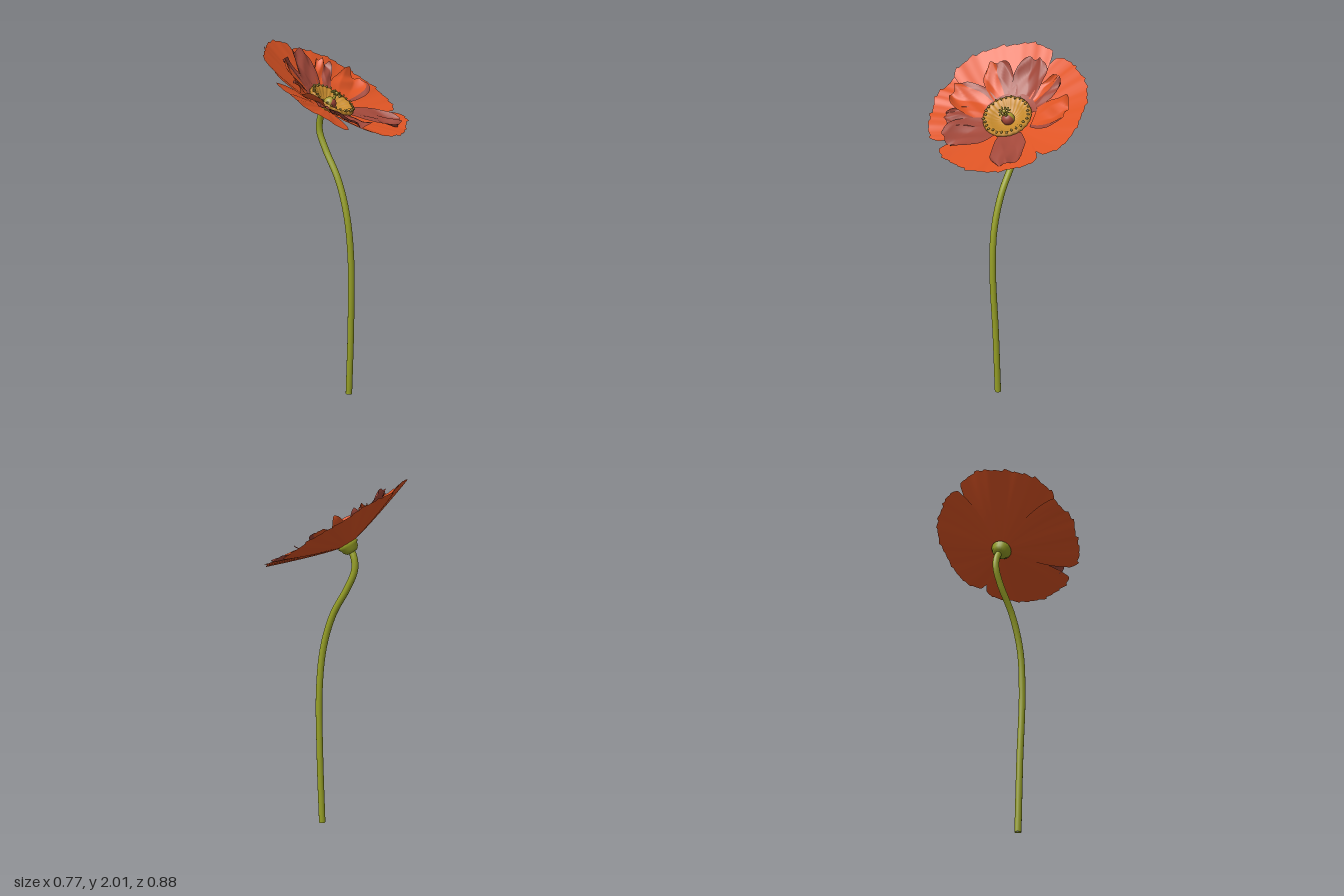
import * as THREE from 'three';

const V = (x, y, z) => new THREE.Vector3(x, y, z);
const flat = (name, color, side = THREE.FrontSide) => {
  const m = new THREE.MeshStandardMaterial({ color, side });
  m.name = name;
  return m;
};

// Smooth sheet from a rule f(u, v in 0..1) -> Vector3, with u from u0 to u1
function sheet(nu, nv, f, u0 = -1, u1 = 1) {
  const pos = [], idx = [];
  for (let j = 0; j <= nv; j++)
    for (let i = 0; i <= nu; i++) pos.push(...f(u0 + (i / nu) * (u1 - u0), j / nv).toArray());
  for (let j = 0; j < nv; j++)
    for (let i = 0; i < nu; i++) {
      const a = j * (nu + 1) + i, b = a + 1, c = a + nu + 1, d = c + 1;
      idx.push(a, b, c, b, d, c);
    }
  const g = new THREE.BufferGeometry();
  g.setAttribute('position', new THREE.Float32BufferAttribute(pos, 3));
  g.setIndex(idx);
  g.computeVertexNormals();
  return g;
}

// Shallow bowl that all petals follow
const bowl = (r) => 0.14 * Math.pow(r / 0.445, 1.2);
const rad = THREE.MathUtils.degToRad;

// Broad outer petal with a ragged edge, spanning angles from..to at the rim and wider inside
function outerPetal({ from, to, R, raise, seed }) {
  const mid = (from + to) / 2, half = (to - from) / 2;
  const teeth = Math.round((to - from) / 7.5);
  return sheet(teeth * 5, 14, (u, v) => {
    const a = rad(mid + u * (half + 9 * (1 - v * v)));
    const k = ((u + 1) / 2) * teeth;
    const saw = 0.015 * (k - Math.floor(k)) * (0.7 + 0.5 * Math.sin(Math.floor(k) * 2.3 + seed));
    const edge = R - 0.006 + saw + 0.005 * Math.sin(u * 7 + seed * 4) - 0.025 * Math.pow(Math.abs(u), 10);
    const r = 0.03 + (edge - 0.03) * v;
    const ripple = 0.004 * v * Math.sin(u * 8 + seed * 3) + 0.001 * v * Math.sin(u * 25 + seed);
    return V(r * Math.cos(a), bowl(r) + raise * v * v + ripple, r * Math.sin(a));
  });
}

// Small crumpled inner petal: blunt, cupped and lifted off the bowl
function innerPetal({ mid, r0, r1, w, lift, seed }, u0, u1) {
  const a = rad(mid), c = Math.cos(a), s = Math.sin(a);
  const fold = (x) => Math.abs(((x % 2) + 2) % 2 - 1) - 0.5;
  return sheet(Math.round(14 * (u1 - u0)), 14, (u, v) => {
    const shape = (0.65 + 0.35 * Math.sin(Math.min(1, v * 1.8) * Math.PI / 2)) * Math.sqrt(1 - 0.5 * Math.pow(v, 8));
    const t = w * shape * u + 0.006 * v * Math.sin(v * 9 + seed);
    const r = r0 + (r1 - r0) * v * (1 - 0.08 * Math.pow(u, 4)) + 0.005 * v * Math.sin(u * 7 + seed);
    const crumple = 0.028 * v * fold(u * 1.3 + v * 1.1 + seed) + 0.018 * v * fold(u * 1.9 - v * 2.1 + seed * 1.7);
    const h = bowl(Math.hypot(r, t)) + 0.02 + lift * v * v + 0.015 * u * u * v + crumple;
    return V(r * c - t * s, h, r * s + t * c);
  }, u0, u1);
}

export function createModel() {
  const model = new THREE.Group();
  model.name = 'flower';
  const green = flat('stem green', 0x969f26);
  const orange = flat('petal orange', 0xde5424, THREE.DoubleSide);
  const rose = flat('inner petal rose', 0xa2483a, THREE.DoubleSide);
  const ochre = flat('cup ochre', 0xc88c2d, THREE.DoubleSide);
  const brown = flat('anther brown', 0x9a7c26);
  const olive = flat('pistil olive yellow', 0xa89a30);
  const add = (parent, name, geo, mat, x = 0, y = 0, z = 0) => {
    const m = new THREE.Mesh(geo, mat);
    m.name = name;
    m.position.set(x, y, z);
    parent.add(m);
    return m;
  };

  // Bent stem
  const path = new THREE.CatmullRomCurve3([
    V(0.085, 0, 0.025), V(0.097, 0.4, 0.033), V(0.1, 0.8, 0.048), V(0.076, 1.05, 0.046),
    V(0.02, 1.25, 0.02), V(-0.062, 1.41, -0.02), V(-0.1, 1.51, -0.035), V(-0.096, 1.58, -0.032), V(-0.07, 1.635, -0.018),
  ]);
  add(model, 'stem', new THREE.TubeGeometry(path, 70, 0.019, 12), green);
  add(model, 'stemEnd', new THREE.CircleGeometry(0.019, 12), green, 0.085, 0, 0.025).rotation.x = Math.PI / 2;

  // Flower head, tilted on the stem
  const head = new THREE.Group();
  head.name = 'flowerHead';
  head.position.set(-0.065, 1.642, -0.016);
  head.quaternion.setFromUnitVectors(V(0, 1, 0), V(0.526, 0.85, 0.115).normalize());
  model.add(head);

  // Green receptacle under the petals
  const receptacle = [[0, -0.045], [0.03, -0.042], [0.046, -0.025], [0.05, -0.008], [0.06, 0.002], [0.055, 0.012], [0, 0.012]];
  add(head, 'receptacle', new THREE.LatheGeometry(receptacle.map((p) => new THREE.Vector2(...p)), 20), green);

  // Four outer petals
  [
    { from: -35, to: 47, R: 0.445, raise: -0.002, seed: 0.2 },
    { from: 59, to: 125, R: 0.44, raise: -0.032, seed: 1.5 },
    { from: 122, to: 207, R: 0.448, raise: -0.003, seed: 2.7 },
    { from: 210, to: 320, R: 0.437, raise: -0.014, seed: 3.9 },
  ].forEach((p) => add(head, 'outerPetal', outerPetal(p), orange));

  // Crumpled inner petals: orange up to the split across the width, rose beyond it
  [
    { mid: -13, r0: 0.13, r1: 0.4, w: 0.092, lift: -0.01, seed: 1, split: -1 },
    { mid: 52, r0: 0.11, r1: 0.37, w: 0.105, lift: -0.005, seed: 2.3, split: -1 },
    { mid: 80, r0: 0.11, r1: 0.34, w: 0.07, lift: 0, seed: 3.1, split: -1 },
    { mid: 109, r0: 0.1, r1: 0.35, w: 0.1, lift: 0.005, seed: 4.4, split: 0.65 },
    { mid: 157, r0: 0.11, r1: 0.325, w: 0.085, lift: 0.025, seed: 5.2, split: 0 },
    { mid: 200, r0: 0.11, r1: 0.335, w: 0.09, lift: 0.03, seed: 6.5, split: -1 },
    { mid: 235, r0: 0.12, r1: 0.32, w: 0.06, lift: 0.02, seed: 7.1, split: 0 },
    { mid: 277, r0: 0.14, r1: 0.345, w: 0.105, lift: 0.01, seed: 8.2, split: 0.7 },
  ].forEach((p) => {
    if (p.split > -1) add(head, 'innerPetal', innerPetal(p, -1, p.split), orange);
    add(head, 'innerPetalRose', innerPetal(p, p.split, 1), rose);
  });

  // Rose collar outside the raised side of the cup
  const collar = [[0.112, 0.048], [0.135, 0.057], [0.152, 0.06]].map((p) => new THREE.Vector2(...p));
  add(head, 'collar', new THREE.LatheGeometry(collar, 20, Math.PI * 1.05, Math.PI * 0.9), rose);

  // Pleated ochre cup
  const heart = new THREE.Group();
  heart.name = 'heart';
  heart.position.set(0.014, -0.004, 0.009);
  head.add(heart);
  const cupPoints = [[0.002, 0.03], [0.035, 0.031], [0.065, 0.042], [0.09, 0.06], [0.115, 0.078], [0.132, 0.077], [0.135, 0.06], [0.1, 0.035]];
  const cup = new THREE.LatheGeometry(cupPoints.map((p) => new THREE.Vector2(...p)), 120);
  const cp = cup.attributes.position;
  for (let i = 0; i < cp.count; i++) {
    const x = cp.getX(i), z = cp.getZ(i);
    cp.setY(i, cp.getY(i) + 0.0025 * Math.sin(24 * Math.atan2(z, x)) * Math.hypot(x, z) / 0.13);
  }
  cup.computeVertexNormals();
  add(heart, 'cup', cup, ochre);

  // Ring of anthers on the rim
  const bead = new THREE.SphereGeometry(0.006, 8, 6);
  for (let i = 0; i < 28; i++) {
    const a = (i / 28) * Math.PI * 2, r = 0.122 + 0.005 * Math.sin(i * 2.4);
    const b = add(heart, 'anther', bead, brown, r * Math.cos(a), 0.084, r * Math.sin(a));
    b.rotation.y = -a;
    b.scale.x = 1.5;
  }

  // Pistil: ovary with a rose cheek on its lower side, neck and a star of stigmas
  const ovary = (name, start, length, mat) =>
    add(heart, name, new THREE.SphereGeometry(0.036, 14, 14, start, length), mat, -0.002, 0.046, 0);
  ovary('ovary', Math.PI * 1.4, Math.PI * 1.2, olive);
  ovary('ovaryCheek', Math.PI * 0.6, Math.PI * 0.8, rose);
  add(heart, 'pistilNeck', new THREE.CylinderGeometry(0.006, 0.01, 0.045, 10), olive, 0.003, 0.093, 0);
  add(heart, 'pistilTip', new THREE.SphereGeometry(0.011, 10, 8), olive, 0.004, 0.114, 0.003);
  const lobe = new THREE.SphereGeometry(0.0065, 8, 6);
  for (let i = 0; i < 10; i++) {
    const a = (i / 10) * Math.PI * 2, r = 0.024 + 0.004 * Math.sin(i * 2.1);
    const l = add(heart, 'stigma', lobe, olive, 0.004 + r * Math.cos(a), 0.114, 0.003 + r * Math.sin(a));
    l.rotation.y = -a;
    l.scale.set(1.7, 0.9, 0.8);
  }
  return model;
}
